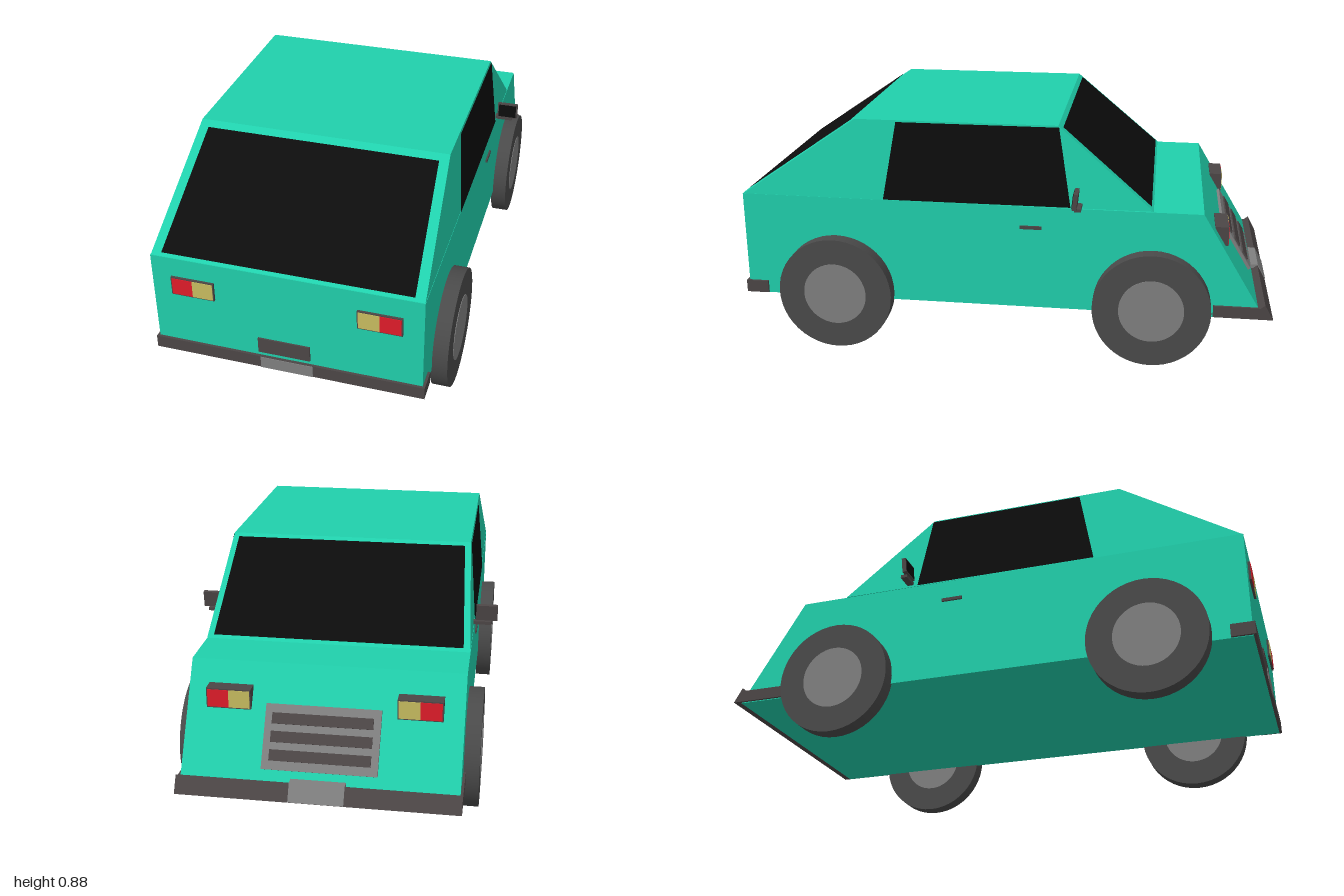
import * as THREE from 'three';

const mat = (color, extra = {}) => {
  const m = new THREE.MeshStandardMaterial(extra);
  m.color.set(color);
  return m;
};
const paint = mat(0x20d0ac, { flatShading: true });
const glass = mat(0x0c0c0c, { side: THREE.DoubleSide });
const dark = mat(0x4c4646);
const tyreMat = mat(0x4a4a4a);
const metal = mat(0x808080);
const red = mat(0xe01c2a);
const amber = mat(0xc8bd60);

export function createModel() {
  const car = new THREE.Group();
  car.name = 'car';

  const add = (name, geometry, material, parent = car) => {
    const mesh = new THREE.Mesh(geometry, material);
    mesh.name = name;
    parent.add(mesh);
    return mesh;
  };
  const box = (name, w, h, d, x, y, z, material, parent = car) => {
    const mesh = add(name, new THREE.BoxGeometry(w, h, d), material, parent);
    mesh.position.set(x, y, z);
    return mesh;
  };
  // side profile of [z, y] points, extruded across the width
  const prism = (name, points, width, material) => {
    const shape = new THREE.Shape(points.map(([z, y]) => new THREE.Vector2(z, y)));
    const g = new THREE.ExtrudeGeometry(shape, { depth: width, bevelEnabled: false });
    g.translate(0, 0, -width / 2).rotateY(-Math.PI / 2);
    return add(name, g, material);
  };
  // flat pane from four corners, counter-clockwise from outside, lifted off the body
  const pane = (name, corners) => {
    const v = corners.map((c) => new THREE.Vector3(...c));
    const n = v[1].clone().sub(v[0]).cross(v[3].clone().sub(v[0])).normalize();
    const g = new THREE.BufferGeometry().setFromPoints(v.map((p) => p.addScaledVector(n, 0.003)));
    g.setIndex([0, 1, 2, 0, 2, 3]);
    g.computeVertexNormals();
    return add(name, g, glass);
  };

  // lower body with sloping nose
  prism('lowerBody', [[0.99, 0.185], [0.99, 0.585], [-0.73, 0.58], [-0.97, 0.185]], 0.96, paint);

  // cabin: a box whose top narrows to the roof
  const cabin = new THREE.BoxGeometry(2, 1, 2);
  const p = cabin.attributes.position;
  for (let i = 0; i < p.count; i++) {
    const top = p.getY(i) > 0;
    const rear = p.getZ(i) > 0;
    const z = top ? (rear ? 0.55 : -0.2) : (rear ? 0.99 : -0.55);
    p.setXYZ(i, p.getX(i) * (top ? 0.453 : 0.479), top ? 0.882 : 0.583, z);
  }
  cabin.computeVertexNormals();
  add('cabin', cabin, paint);

  // windows
  pane('rearWindow', [[-0.443, 0.592, 0.977], [0.443, 0.592, 0.977], [0.42, 0.865, 0.575], [-0.42, 0.865, 0.575]]);
  pane('windscreen', [[0.455, 0.592, -0.54], [-0.455, 0.592, -0.54], [-0.432, 0.87, -0.214], [0.432, 0.87, -0.214]]);
  pane('leftWindow', [[0.479, 0.585, 0.447], [0.479, 0.585, -0.25], [0.4536, 0.876, -0.203], [0.4536, 0.876, 0.395]]);
  pane('rightWindow', [[-0.479, 0.585, -0.25], [-0.479, 0.585, 0.447], [-0.4536, 0.876, 0.395], [-0.4536, 0.876, -0.203]]);

  // bumpers with a lighter centre plate
  prism('rearBumper', [[0.915, 0.187], [0.915, 0.234], [1, 0.234], [1, 0.187]], 0.978, dark);
  box('rearBumperPlate', 0.19, 0.045, 0.01, 0, 0.21, 0.9975, metal);
  const nose = [[-0.78, 0.188], [-0.78, 0.232], [-0.95, 0.232], [-0.966, 0.245], [-0.998, 0.188]];
  prism('frontBumper', nose, 0.978, dark);
  prism('frontBumperPlate', [[-0.94, 0.19], [-0.94, 0.247], [-0.968, 0.247], [-1, 0.19]], 0.19, metal);
  box('numberPlate', 0.188, 0.06, 0.012, -0.01, 0.28, 0.99, dark);

  // radiator grille lying on the nose slope
  const grille = new THREE.Group();
  grille.name = 'grille';
  grille.position.set(0, 0.362, -0.864);
  grille.rotation.x = Math.PI + 0.546;
  car.add(grille);
  box('grilleFrame', 0.4, 0.225, 0.02, 0, 0, 0, metal, grille);
  for (let i = -1; i <= 1; i++) box('grilleSlat', 0.35, 0.038, 0.012, 0, i * 0.063, 0.01, dark, grille);

  for (const s of [-1, 1]) {
    const side = s > 0 ? 'left' : 'right';

    // lamp clusters: red outside, amber inside
    for (const [end, z, depth, face] of [['rear', 0.99, 0.016, 1], ['front', -0.8, 0.05, -1]]) {
      const lamp = new THREE.Group();
      lamp.name = `${side}${end}Lamp`;
      lamp.position.set(s * 0.331, 0.475, z);
      car.add(lamp);
      box('lampHousing', 0.156, 0.072, depth, 0, 0, 0, dark, lamp);
      const front = face * (depth / 2);
      box('redLens', 0.074, 0.064, 0.004, s * 0.037, 0, front, red, lamp);
      box('amberLens', 0.074, 0.064, 0.004, -s * 0.037, 0, front, amber, lamp);
    }

    // wheels
    for (const [end, z] of [['rear', 0.635], ['front', -0.555]]) {
      const wheel = new THREE.Group();
      wheel.name = `${side}${end}Wheel`;
      wheel.position.set(s * 0.504, 0.217, z);
      wheel.rotation.z = -s * Math.PI / 2;
      car.add(wheel);
      add('tyre', new THREE.CylinderGeometry(0.217, 0.217, 0.062, 48), tyreMat, wheel);
      add('hub', new THREE.CylinderGeometry(0.12, 0.12, 0.066, 40), metal, wheel);
    }

    // wing mirror and door handle
    box(`${side}MirrorStalk`, 0.07, 0.012, 0.025, s * 0.51, 0.597, -0.28, dark);
    const mirror = new THREE.Group();
    mirror.name = `${side}Mirror`;
    mirror.position.set(s * 0.526, 0.633, -0.272);
    mirror.rotation.x = -0.1;
    car.add(mirror);
    box('mirrorHousing', 0.08, 0.06, 0.016, 0, 0, 0, dark, mirror);
    box('mirrorGlass', 0.07, 0.05, 0.004, 0, 0, 0.008, glass, mirror);
    box(`${side}DoorHandle`, 0.012, 0.012, 0.08, s * 0.481, 0.502, -0.105, dark);
  }
  return car;
}
